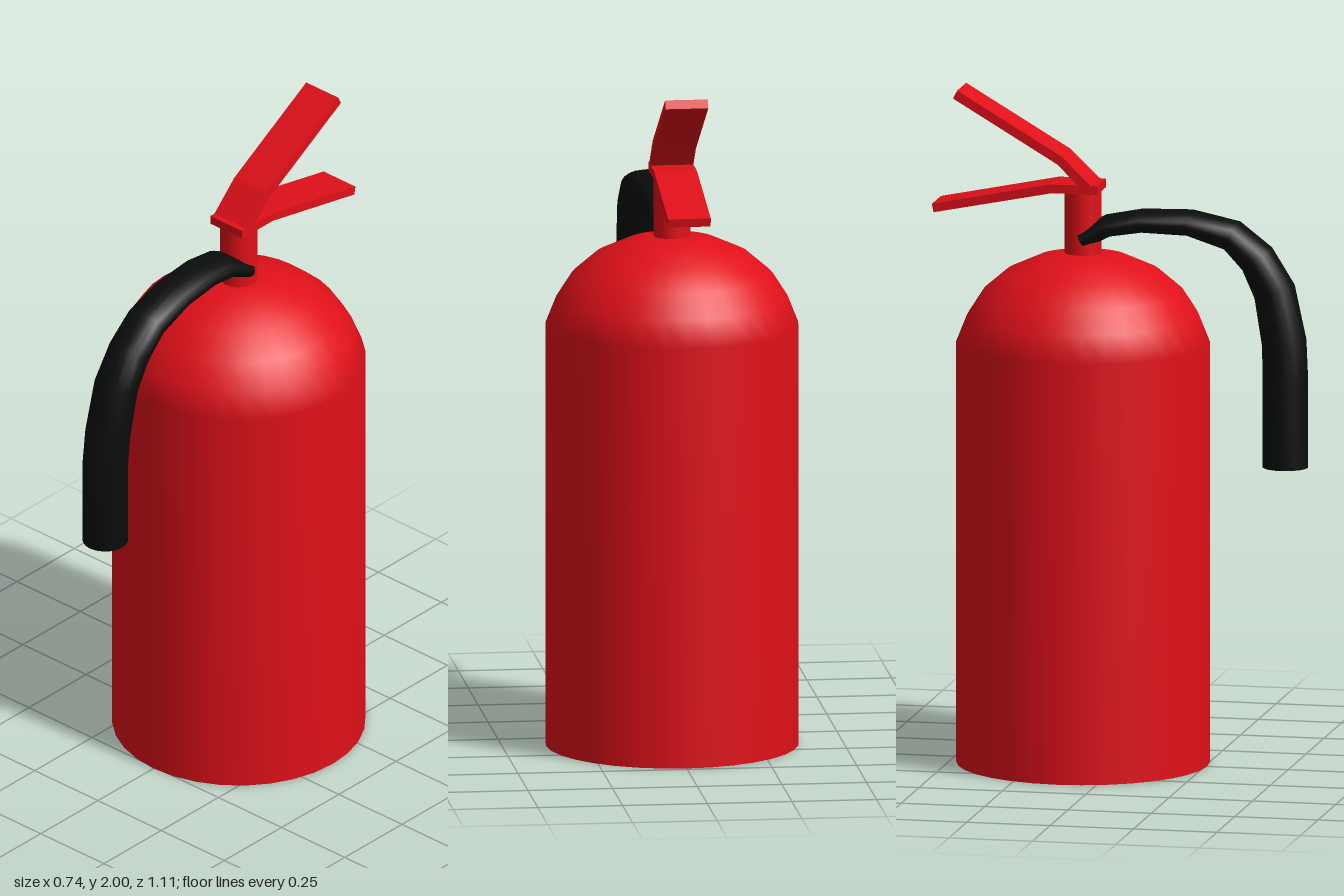
import * as THREE from 'three';

const red = new THREE.MeshStandardMaterial({ color: 0xe01019 });
const black = new THREE.MeshStandardMaterial({ color: 0x0b0c0c });
const AXIS_Z = -0.115; // the tank stands behind the centre, the hose hangs in front

function add(group, name, geometry, material) {
  const mesh = new THREE.Mesh(geometry, material);
  mesh.name = name;
  group.add(mesh);
  return mesh;
}

// Bent metal strip: side outline as [distance backwards, height], extruded across x
function strip(outline, width) {
  const shape = new THREE.Shape(outline.map(([d, y]) => new THREE.Vector2(d, y)));
  const geo = new THREE.ExtrudeGeometry(shape, { depth: width, bevelEnabled: false });
  geo.rotateY(Math.PI / 2);
  geo.translate(-width / 2, 0, 0);
  return geo;
}

// Hose lofted from elliptical rings: [x, y, z, half thickness]
function hoseGeometry(stations, halfWidth, sides) {
  const pos = [], index = [];
  const pts = stations.map(([x, y, z]) => new THREE.Vector3(x, y, z));
  const rings = stations.map(([, , , thick], i) => {
    const a = pts[Math.max(i - 1, 0)], b = pts[Math.min(i + 1, pts.length - 1)];
    const t = b.clone().sub(a).setX(0).normalize();
    const n = new THREE.Vector3(0, t.z, -t.y);
    return Array.from({ length: sides }, (_, j) => {
      const ang = (j / sides) * Math.PI * 2;
      const p = pts[i].clone().addScaledVector(n, Math.sin(ang) * thick);
      p.x += Math.cos(ang) * halfWidth;
      return p;
    });
  });
  rings.forEach((ring) => ring.forEach((p) => pos.push(p.x, p.y, p.z)));
  for (let i = 0; i < rings.length - 1; i++) {
    for (let j = 0; j < sides; j++) {
      const k = (j + 1) % sides;
      const a = i * sides + j, b = i * sides + k, c = a + sides, d = b + sides;
      index.push(a, b, c, b, d, c);
    }
  }
  // end caps with their own vertices, so the rims stay sharp
  [0, rings.length - 1].forEach((r, end) => {
    const base = pos.length / 3;
    [...rings[r], pts[r]].forEach((p) => pos.push(p.x, p.y, p.z));
    for (let j = 0; j < sides; j++) {
      const k = (j + 1) % sides;
      if (end) index.push(base + j, base + k, base + sides);
      else index.push(base + k, base + j, base + sides);
    }
  });
  const geo = new THREE.BufferGeometry();
  geo.setAttribute('position', new THREE.Float32BufferAttribute(pos, 3));
  geo.setIndex(index);
  geo.computeVertexNormals();
  return geo;
}

export function createModel() {
  const model = new THREE.Group();
  model.name = 'fireExtinguisher';

  // Tank with domed shoulder, closed by a flat base
  const profile = [
    [0.372, 0], [0.372, 1.255], [0.34, 1.335], [0.295, 1.405], [0.225, 1.465],
    [0.13, 1.508], [0.06, 1.52], [0, 1.52],
  ].map(([r, y]) => new THREE.Vector2(r, y));
  add(model, 'tank', new THREE.LatheGeometry(profile, 32), red).position.z = AXIS_Z;
  const base = add(model, 'tankBase', new THREE.CircleGeometry(0.372, 32), red);
  base.rotation.x = Math.PI / 2;
  base.position.z = AXIS_Z;

  // Valve neck
  add(model, 'neck', new THREE.CylinderGeometry(0.055, 0.055, 0.22, 20), red)
    .position.set(0, 1.605, AXIS_Z);

  // Raised squeeze lever and lower carrying handle
  add(model, 'squeezeLever', strip([
    [0.062, 1.715], [0.085, 1.7], [0.18, 1.792], [0.492, 1.976], [0.479, 2], [0.165, 1.815],
  ], 0.126), red);
  add(model, 'carryHandle', strip([
    [0.06, 1.705], [0.195, 1.705], [0.55, 1.634], [0.555, 1.659], [0.2, 1.731], [0.06, 1.731],
  ], 0.126), red);

  // Hose: flat where it leaves the neck, round where it hangs down
  add(model, 'hose', hoseGeometry([
    [0, 1.565, -0.112, 0.03], [0.002, 1.603, -0.04, 0.032], [0.01, 1.62, 0.06, 0.034],
    [0.024, 1.617, 0.2, 0.038], [0.033, 1.582, 0.325, 0.046], [0.034, 1.515, 0.4, 0.054],
    [0.03, 1.42, 0.453, 0.062], [0.024, 1.27, 0.483, 0.066], [0.018, 1.16, 0.488, 0.067],
    [0.018, 0.9, 0.488, 0.067],
  ], 0.067, 20), black);

  return model;
}
